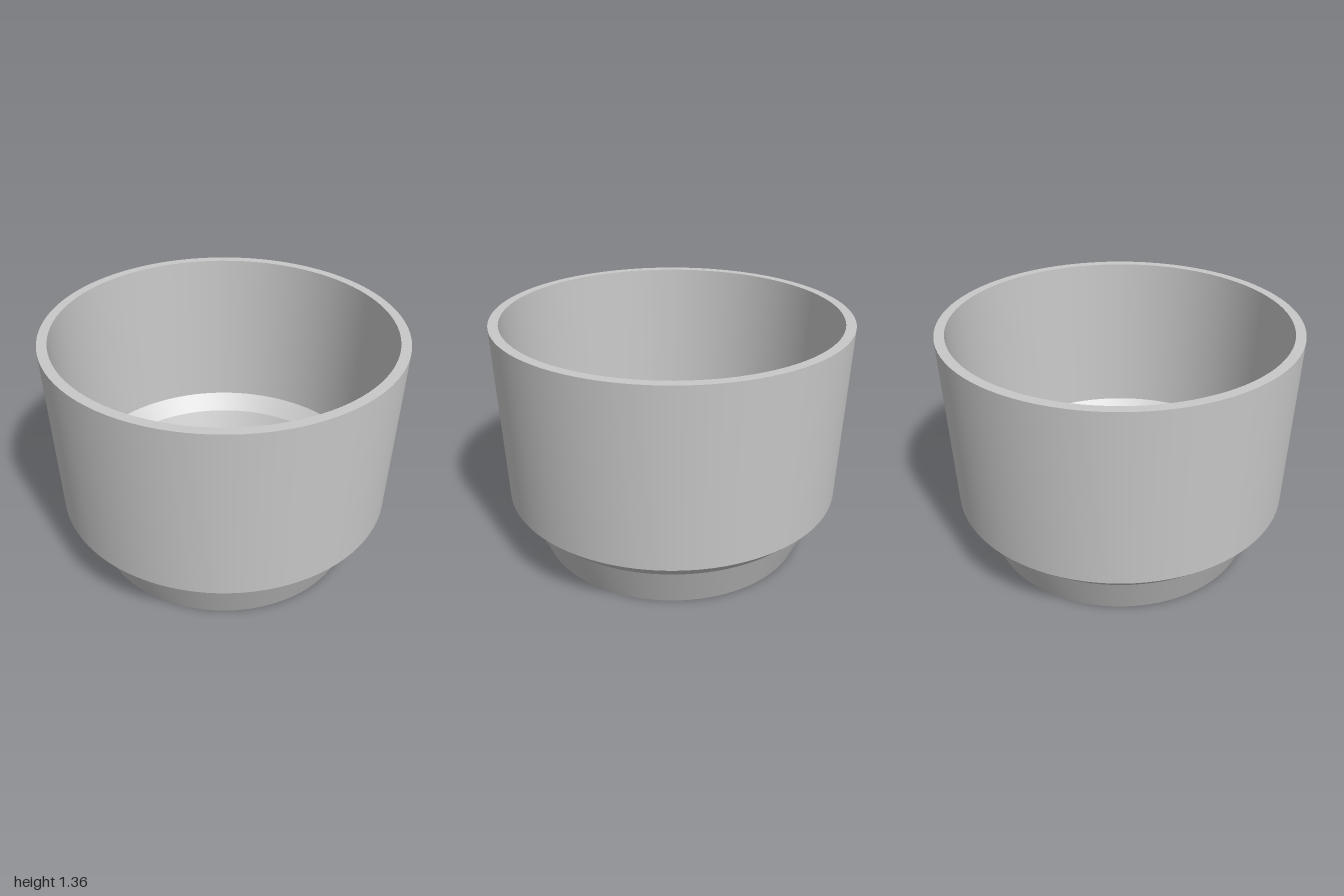
import * as THREE from 'three';
import { mergeGeometries } from 'three/addons/utils/BufferGeometryUtils.js';

const SEG = 96;
const FLOOR = 0.055; // floor thickness

// Profiles listed so that every face points out of the solid
const OUTER = [[0.77, 0], [0.875, 0.25], [0.965, 0.34], [1, 1.36]];
const INNER = [[0.945, 1.36], [0.91, 0.39], [0.82, 0.3], [0.715, FLOOR]];

// Drainage holes: x, z, radius
const HOLES = [[0, 0, 0.073]];
for (const x of [-0.48, 0, 0.48]) for (const z of [-0.355, 0.355]) HOLES.push([x, z, 0.038]);

// One lathe per profile segment keeps the rings sharp and the rounds smooth
function revolve(points, segments = SEG) {
  const bands = [];
  for (let i = 0; i < points.length - 1; i++) {
    const pair = [points[i], points[i + 1]].map(([r, y]) => new THREE.Vector2(r, y));
    bands.push(new THREE.LatheGeometry(pair, segments));
  }
  return mergeGeometries(bands);
}

// Flat disc pierced by the drainage holes, facing up or down
function piercedDisc(radius, y, up) {
  const shape = new THREE.Shape().absarc(0, 0, radius, 0, Math.PI * 2, false);
  for (const [x, z, r] of HOLES) {
    shape.holes.push(new THREE.Path().absarc(x, z, r, 0, Math.PI * 2, true));
  }
  return new THREE.ShapeGeometry(shape, SEG)
    .rotateX(up ? -Math.PI / 2 : Math.PI / 2)
    .translate(0, y, 0);
}

export function createModel() {
  const group = new THREE.Group();
  group.name = 'planterPot';
  const grey = new THREE.MeshStandardMaterial({ color: 0xc8c8c8 });
  grey.name = 'light grey';

  const add = (name, geometry) => {
    const mesh = new THREE.Mesh(geometry, grey);
    mesh.name = name;
    group.add(mesh);
  };

  // Walls and rim
  add('outerWall', revolve(OUTER));
  add('rim', revolve([OUTER[3], INNER[0]]));
  add('innerWall', revolve(INNER));

  // Floor and underside
  add('floor', piercedDisc(INNER[3][0], FLOOR, true));
  add('underside', piercedDisc(OUTER[0][0], 0, false));

  // Walls of the drainage holes
  for (const [x, z, r] of HOLES) {
    add('drainHole', revolve([[r, FLOOR], [r, 0]]).translate(x, 0, z));
  }
  return group;
}
